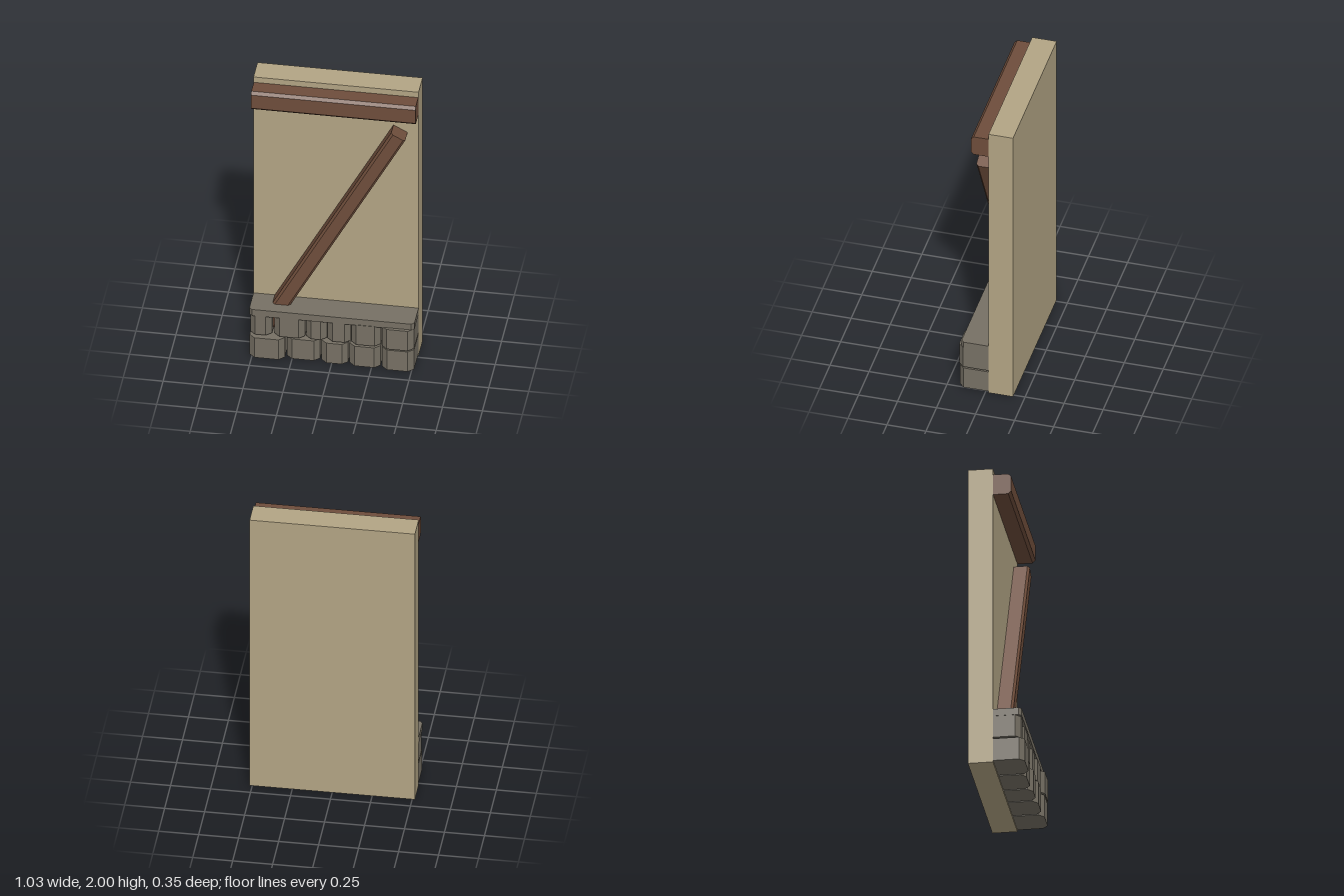
import * as THREE from 'three';

const BACK = -0.02; // front plane of the wall, where everything attaches

const mat = (name, color) => {
  const m = new THREE.MeshStandardMaterial({ color });
  m.name = name;
  return m;
};

// Upright bar centred on x, standing on y = 0, with its two front edges chamfered
function chamferedBar(width, front, length, cx, cz) {
  const h = width / 2;
  const s = new THREE.Shape([
    [-h, -BACK], [-h, -front + cz], [-h + cx, -front],
    [h - cx, -front], [h, -front + cz], [h, -BACK],
  ].map(([x, y]) => new THREE.Vector2(x, y)));
  const g = new THREE.ExtrudeGeometry(s, { depth: length, bevelEnabled: false });
  return g.rotateX(-Math.PI / 2);
}

export function createModel() {
  const plaster = mat('plaster', 0xb2a484);
  const wood = mat('wood', 0x6e4d3b);
  const stone = mat('stone', 0x767064);
  const model = new THREE.Group();
  model.name = 'wallPanel';

  const add = (name, geometry, material, x = 0, y = 0, z = 0, parent = model) => {
    const mesh = new THREE.Mesh(geometry, material);
    mesh.name = name;
    mesh.position.set(x, y, z);
    parent.add(mesh);
    return mesh;
  };

  // Plaster wall
  add('wall', new THREE.BoxGeometry(1.034, 2, 0.157), plaster, 0, 1, -0.0985);

  // Horizontal beam at the top
  const beam = chamferedBar(0.135, 0.093, 1.03, 0.018, 0.018);
  add('topBeam', beam, wood, 0.515, 1.892).rotation.z = Math.PI / 2;

  // Diagonal brace, its foot tucked behind the stones
  const foot = new THREE.Vector2(-0.413, 0.2);
  const head = new THREE.Vector2(0.404, 1.711);
  const run = head.clone().sub(foot);
  const brace = chamferedBar(0.1, 0.079, run.length(), 0.014, 0.014);
  add('diagonalBrace', brace, wood, foot.x, foot.y).rotation.z = -Math.atan2(run.x, run.y);

  // Two courses of stones: [left, right, front]
  const courses = [
    { name: 'lowerStone', y: 0.01, height: 0.149, stones: [
      [-0.515, -0.295, 0.174], [-0.285, -0.077, 0.15], [-0.067, 0.1, 0.16],
      [0.11, 0.304, 0.165], [0.314, 0.515, 0.174]] },
    { name: 'upperStone', y: 0.169, height: 0.148, stones: [
      [-0.515, -0.378, 0.15], [-0.363, -0.172, 0.15], [-0.165, -0.035, 0.145],
      [-0.03, 0.116, 0.15], [0.12, 0.304, 0.16], [0.314, 0.515, 0.177]] },
  ];
  const base = new THREE.Group();
  base.name = 'stoneBase';
  model.add(base);
  for (const { name, y, height, stones } of courses) {
    stones.forEach(([l, r, front], i) =>
      add(name + (i + 1), chamferedBar(r - l, front, height, 0.035, 0.032), stone, (l + r) / 2, y, 0, base));
  }

  // Ledge on top of the stones
  add('ledge', chamferedBar(1.034, 0.157, 0.047, 0.018, 0.018), stone, 0, 0.313, 0, base);

  return model;
}
